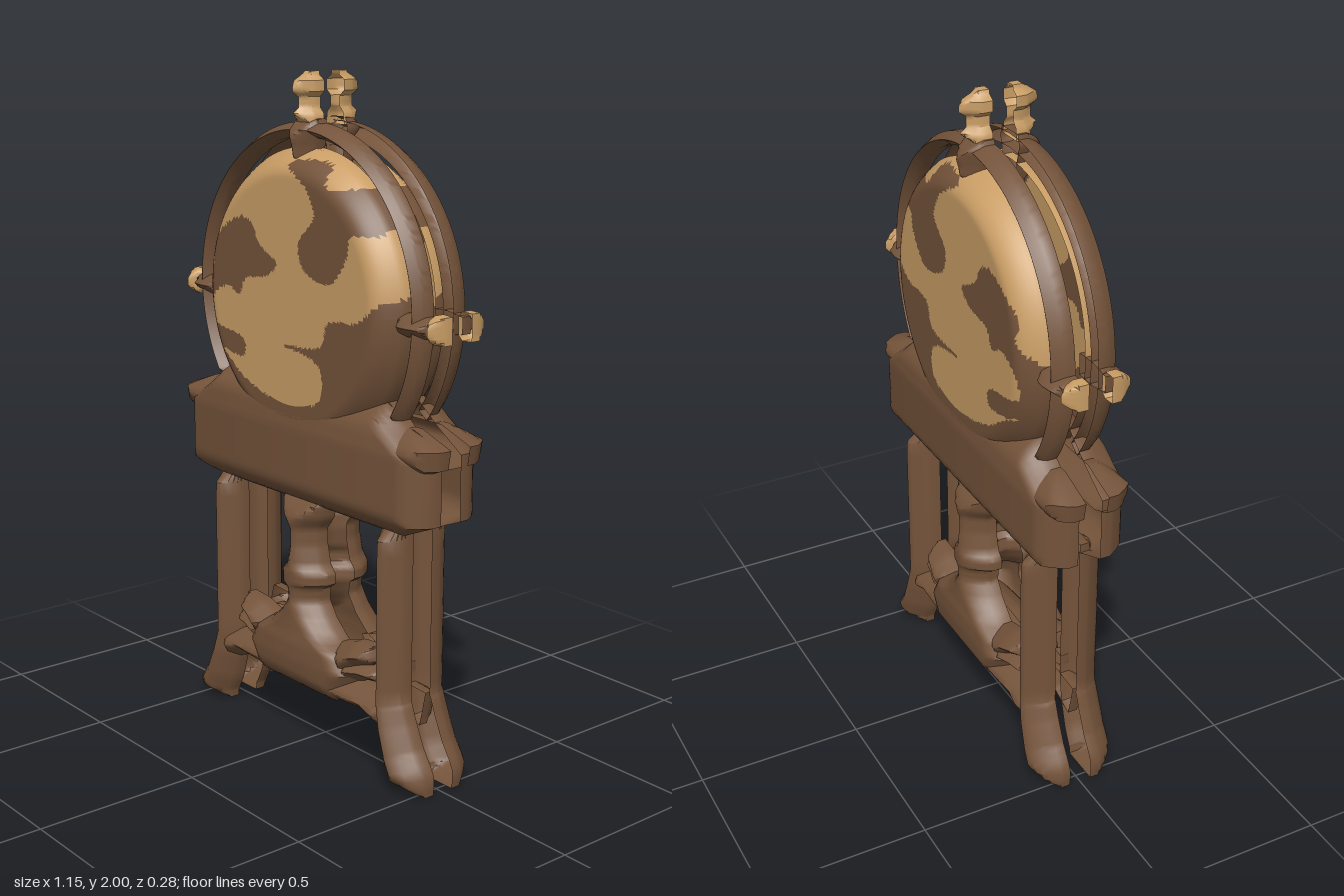
import * as THREE from 'three';
import { toCreasedNormals } from 'three/addons/utils/BufferGeometryUtils.js';

const brown = new THREE.MeshStandardMaterial({ color: 0x74533a, side: THREE.DoubleSide });
brown.name = 'dark wood';
const tan = new THREE.MeshStandardMaterial({ color: 0xc99d65, side: THREE.DoubleSide });
tan.name = 'golden tan';

const BACK = 0.035; // open inner edge of each half
const GLOBE = { y: 1.36, r: 0.43 };

// Height of the relief at a distance d inside a part's outline
function relief(d) {
  const t = Math.min(Math.max(d, 0) / 0.08, 1);
  return 0.065 + 0.075 * (1 - (1 - t) ** 2);
}

// Indexed grid geometry; side -1 gives the mirrored back half
function gridGeometry(rows, side) {
  const cols = rows[0].length, pos = [], idx = [];
  rows.flat().forEach(([x, y, z]) => pos.push(x, y, z * side));
  const tri = (a, b, c) => (side > 0 ? idx.push(a, b, c) : idx.push(a, c, b));
  for (let i = 0; i < rows.length - 1; i++) {
    for (let j = 0; j < cols - 1; j++) {
      const a = i * cols + j, b = a + cols;
      tri(a, a + 1, b);
      tri(a + 1, b + 1, b);
    }
  }
  const g = new THREE.BufferGeometry();
  g.setAttribute('position', new THREE.Float32BufferAttribute(pos, 3));
  g.setIndex(idx);
  return g;
}

// Rounded relief swept along stations [x, y, halfWidth]
function sweep(stations, side) {
  const path = [stations[0]];
  stations.slice(1).forEach((p, i) => {
    const q = stations[i];
    const n = Math.min(12, Math.max(1, Math.ceil(Math.hypot(p[0] - q[0], p[1] - q[1]) / 0.015)));
    for (let k = 1; k <= n; k++) path.push(q.map((v, c) => v + (p[c] - v) * k / n));
  });
  const run = [0];
  for (let i = 1; i < path.length; i++) {
    run.push(run[i - 1] + Math.hypot(path[i][0] - path[i - 1][0], path[i][1] - path[i - 1][1]));
  }
  const total = run[run.length - 1];
  const insets = [0, 0.12, 0.28, 0.5, 0.75, 1];
  const rows = path.map(([x, y, w], i) => {
    const a = path[Math.max(i - 1, 0)], b = path[Math.min(i + 1, path.length - 1)];
    const len = Math.hypot(b[0] - a[0], b[1] - a[1]);
    const nx = -(b[1] - a[1]) / len, ny = (b[0] - a[0]) / len;
    const end = Math.min(run[i], total - run[i]);
    const m = Math.min(0.08, w * 0.98);
    const at = (o, z) => [x + nx * o, y + ny * o, z];
    const left = insets.map((f) => at(w - f * m, relief(Math.min(f * m, end))));
    const right = insets.map((f) => at(f * m - w, relief(Math.min(f * m, end)))).reverse();
    return [at(w, BACK), ...left, ...right, at(-w, BACK)];
  });
  const drop = (row) => row.map(([x, y]) => [x, y, BACK]);
  return toCreasedNormals(gridGeometry([drop(rows[0]), ...rows, drop(rows[rows.length - 1])], side), 0.8);
}

// Smooth closed outline through a few points given in hundredths
function coast(points) {
  const curve = new THREE.CatmullRomCurve3(points.map(([x, y]) => new THREE.Vector3(x / 100, y / 100, 0)), true);
  return curve.getPoints(points.length * 5);
}

// Dark land patches on the globe
const westLand = coast([[-23, 158], [-17, 157], [-13, 151], [-5, 146], [-10, 142], [-20, 140], [-23, 135],
  [-28, 137], [-35, 134], [-37, 126], [-21, 122], [-21, 117], [-31, 118], [-45, 122], [-45, 134], [-36, 143],
  [-36, 149]]);
const northLand = coast([[-1, 175], [14, 175], [17, 169], [29, 169], [36, 158], [28, 157], [26, 151], [19, 143],
  [7, 146], [5, 153], [12, 161], [9, 168]]);
const southLand = coast([[-2, 123], [15, 125], [18, 132], [31, 134], [39, 140], [46, 141], [46, 90], [-46, 90],
  [-46, 120], [-31, 117], [-20, 110], [-2, 106], [14, 109], [15, 118], [10, 121]]);

function isLand(x, y) {
  return [westLand, northLand, southLand].some((poly) => {
    let inside = false;
    poly.forEach((a, i) => {
      const b = poly[(i + 1) % poly.length];
      if ((a.y > y) !== (b.y > y) && x < a.x + (b.x - a.x) * (y - a.y) / (b.y - a.y)) inside = !inside;
    });
    return inside;
  });
}

// Domed globe disc, each triangle sorted into land or sea
function globeGeometry(side) {
  const rings = 44, segs = 176, rows = [];
  for (let s = 0; s <= segs; s++) {
    const a = -s / segs * Math.PI * 2, row = [];
    for (let k = rings + 1; k >= 0; k--) {
      const r = GLOBE.r * Math.max(Math.min(k, rings) / rings, 0.0005);
      const z = k > rings ? BACK : relief(GLOBE.r - r);
      row.push([r * Math.cos(a), GLOBE.y + r * Math.sin(a), z]);
    }
    rows.push(row);
  }
  const g = gridGeometry(rows, side);
  g.computeVertexNormals();
  const p = g.attributes.position, src = g.index.array, sea = [], land = [];
  for (let i = 0; i < src.length; i += 3) {
    const t = [src[i], src[i + 1], src[i + 2]];
    const x = t.reduce((sum, v) => sum + p.getX(v), 0) / 3;
    const y = t.reduce((sum, v) => sum + p.getY(v), 0) / 3;
    (isLand(x, y) ? land : sea).push(...t);
  }
  g.setIndex([...sea, ...land]);
  g.addGroup(0, sea.length, 0);
  g.addGroup(sea.length, land.length, 1);
  return g;
}

// Stations on the vertical centre line from [y, halfWidth] pairs
const upright = (...pairs) => pairs.map(([y, w]) => [0, y, w]);
const mirrorX = (path) => path.map(([x, y, w]) => [-x, y, w]);

export function createModel() {
  const model = new THREE.Group();
  model.name = 'globeOnStand';

  // Meridian ring, open at the bottom where it enters the table
  const ring = [];
  for (let i = 0; i <= 80; i++) {
    const a = (-37 + 254 * i / 80) * Math.PI / 180;
    ring.push([0.48 * Math.cos(a), GLOBE.y + 0.48 * Math.sin(a), 0.02]);
  }

  // Table, column and finial
  const tableBody = upright([0.75, 0.42], [0.8, 0.54], [0.99, 0.54], [1.055, 0.44], [1.12, 0.355]);
  const tableRim = upright([0.94, 0.5], [0.965, 0.565], [1.02, 0.575], [1.06, 0.46]);
  const columnBase = upright([0.165, 0.13], [0.2, 0.2], [0.28, 0.25], [0.33, 0.22], [0.365, 0.15], [0.41, 0.1]);
  const columnShaft = upright([0.46, 0.065], [0.5, 0.07], [0.515, 0.092], [0.545, 0.092], [0.57, 0.07],
    [0.63, 0.055], [0.68, 0.055], [0.72, 0.085], [0.78, 0.1]);
  const bracket = upright([1.73, 0.03], [1.79, 0.04], [1.84, 0.055], [1.87, 0.045]);
  const finial = upright([1.85, 0.04], [1.885, 0.035], [1.9, 0.02], [1.93, 0.02], [1.945, 0.038], [1.975, 0.038],
    [1.988, 0.018], [2, 0.015]);

  // Bar joining the feet
  const halfBar = [[0.4, 0.2, 0.055], [0.3, 0.222, 0.04], [0.15, 0.225, 0.05]];
  const stretcher = [...mirrorX(halfBar), [0, 0.225, 0.06], ...halfBar.slice().reverse()];

  // Legs, scrolls and pivots, repeated on both sides
  const leg = [[0.465, 0, 0.062], [0.465, 0.04, 0.066], [0.43, 0.1, 0.062], [0.4, 0.18, 0.056],
    [0.382, 0.25, 0.048], [0.382, 0.78, 0.048]];
  const upperScroll = [[0.16, 0.3, 0.06], [0.24, 0.345, 0.04], [0.31, 0.365, 0.025]];
  const lowerScroll = [[0.18, 0.29, 0.05], [0.27, 0.305, 0.028], [0.335, 0.305, 0.018]];
  const pivotPin = [[0.4, 1.345, 0.032], [0.47, 1.345, 0.034], [0.535, 1.345, 0.024]];
  const pivotKnob = [[0.52, 1.345, 0.025], [0.535, 1.345, 0.04], [0.572, 1.345, 0.038]];

  for (const [half, side] of [['front', 1], ['back', -1]]) {
    const group = new THREE.Group();
    group.name = `${half}Half`;
    const add = (name, geometry, material) => {
      const mesh = new THREE.Mesh(geometry, material);
      mesh.name = name;
      group.add(mesh);
    };
    const single = (name, path, material = brown) => add(name, sweep(path, side), material);
    const pair = (name, path, material = brown) => {
      single(`${name}Left`, path, material);
      single(`${name}Right`, mirrorX(path), material);
    };
    add('globe', globeGeometry(side), [tan, brown]);
    single('meridianRing', ring);
    single('tableBody', tableBody);
    single('tableRim', tableRim);
    single('turnedColumn', [...columnBase, ...columnShaft]);
    single('lowerStretcher', stretcher);
    single('topBracket', bracket);
    single('finial', finial, tan);
    pair('legAndFoot', leg);
    pair('upperScroll', upperScroll);
    pair('lowerScroll', lowerScroll);
    pair('pivotPin', pivotPin);
    pair('pivotKnob', pivotKnob, tan);
    model.add(group);
  }
  return model;
}
